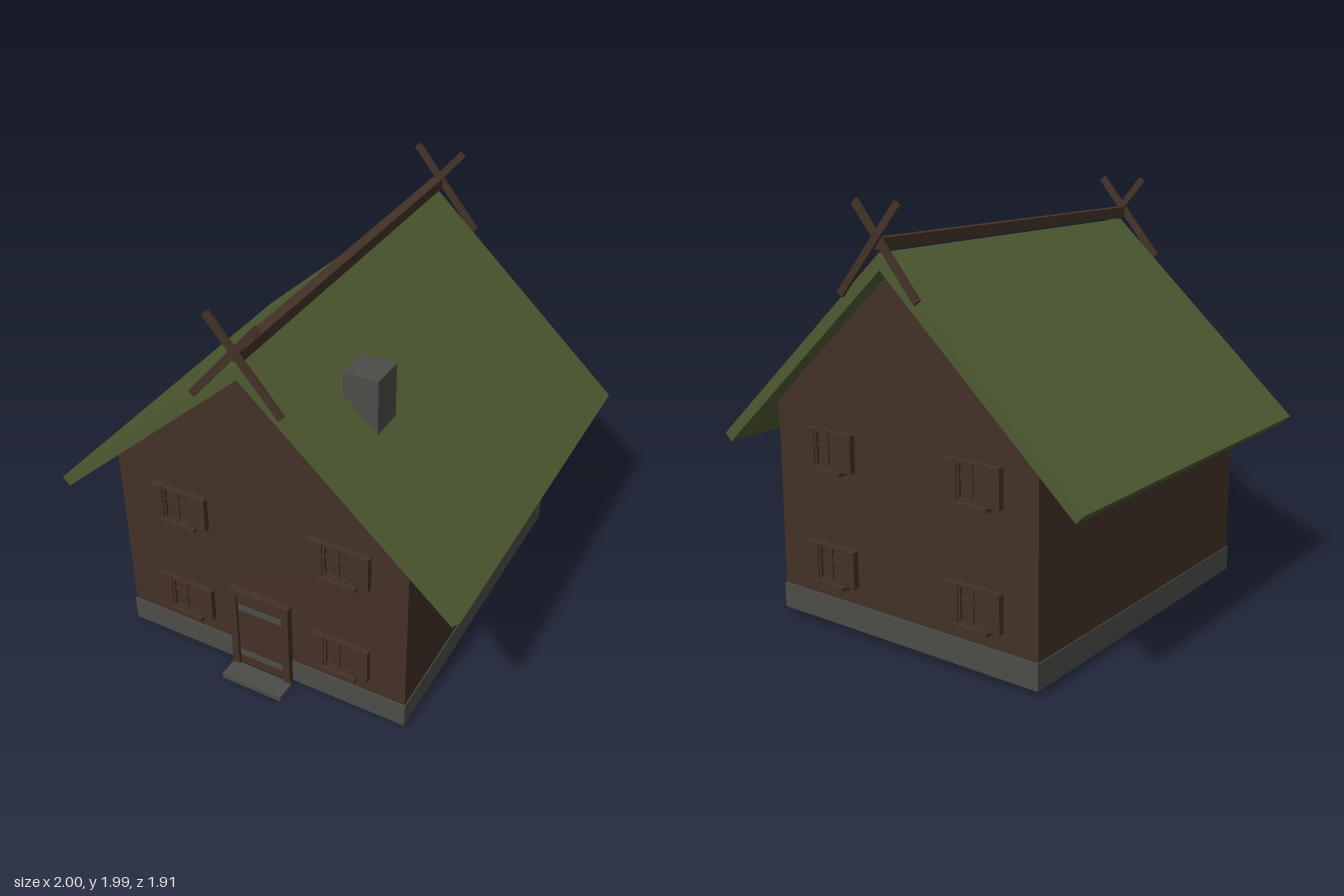
import * as THREE from 'three';

const mat = (name, color) => Object.assign(new THREE.MeshStandardMaterial({ color }), { name });

export function createModel() {
  const wood = mat('dark wood', 0x433127);
  const turf = mat('turf green', 0x4e5a31);
  const stone = mat('grey stone', 0x4b4c47);

  const house = new THREE.Group();
  house.name = 'house';

  // Box given by its min and max along each axis
  function box(parent, name, material, [x0, x1], [y0, y1], [z0, z1]) {
    const mesh = new THREE.Mesh(new THREE.BoxGeometry(x1 - x0, y1 - y0, z1 - z0), material);
    mesh.position.set((x0 + x1) / 2, (y0 + y1) / 2, (z0 + z1) / 2);
    mesh.name = name;
    parent.add(mesh);
    return mesh;
  }

  // Outline in x and y, extruded from z0 to z1
  function prism(parent, name, material, points, z0, z1) {
    const shape = new THREE.Shape(points.map(([x, y]) => new THREE.Vector2(x, y)));
    const geometry = new THREE.ExtrudeGeometry(shape, { depth: z1 - z0, bevelEnabled: false });
    geometry.translate(0, 0, z0);
    const mesh = new THREE.Mesh(geometry, material);
    mesh.name = name;
    parent.add(mesh);
    return mesh;
  }

  // Foundation, walls and roof
  box(house, 'foundation', stone, [-0.735, 0.735], [0.03, 0.152], [-0.84, 0.84]);
  prism(house, 'walls', wood,
    [[-0.73, 0.14], [0.73, 0.14], [0.73, 1.05], [0, 1.71], [-0.73, 1.05]], -0.832, 0.832);
  prism(house, 'roof', turf,
    [[0, 1.775], [-1, 0.862], [-0.965, 0.824], [0, 1.703], [0.965, 0.824], [1, 0.862]], -0.925, 0.925);
  box(house, 'ridgeBeam', wood, [-0.025, 0.025], [1.786, 1.836], [-0.925, 0.925]);
  box(house, 'chimney', stone, [0.28, 0.445], [1.34, 1.63], [0.41, 0.575]);

  // Window with shutters, facing +z from the wall plane at z = 0
  function makeWindow(x, y) {
    const win = new THREE.Group();
    win.name = 'window';
    for (const s of [-1, 1]) {
      const edges = [s * 0.075, s * 0.147].sort((a, b) => a - b);
      box(win, 'shutter', wood, edges, [-0.0875, 0.0875], [-0.01, 0.03]);
      box(win, 'frameSide', wood, [s * 0.068 - 0.006, s * 0.068 + 0.006], [-0.0875, 0.0875], [-0.01, 0.025]);
      box(win, 'frameRail', wood, [-0.074, 0.074], [s * 0.081 - 0.006, s * 0.081 + 0.006], [-0.01, 0.025]);
    }
    box(win, 'pane', wood, [-0.07, 0.07], [-0.085, 0.085], [-0.01, 0.012]);
    box(win, 'mullion', wood, [-0.005, 0.005], [-0.08, 0.08], [0, 0.02]);
    box(win, 'crossbar', wood, [-0.07, 0.07], [0.012, 0.022], [0, 0.02]);
    box(win, 'sill', wood, [-0.093, 0.093], [-0.106, -0.0875], [-0.01, 0.047]);
    win.position.set(x, y, 0.832);
    return win;
  }

  // Each end: gable boarding, four windows and crossed ridge boards
  for (const end of ['front', 'back']) {
    const side = new THREE.Group();
    side.name = end + 'End';
    prism(side, 'gable', wood, [[-0.66, 1.108], [0.66, 1.108], [0, 1.706]], 0.82, 0.84);
    for (const x of [-0.408, 0.408]) {
      for (const y of [0.323, 0.863]) side.add(makeWindow(x, y));
    }
    for (const s of [-1, 1]) {
      const z = s < 0 ? [0.922, 0.938] : [0.935, 0.952];
      const board = box(side, 'crossedBoard', wood, [-0.254, 0.254], [-0.017, 0.017], z);
      board.position.x = -s * 0.041;
      board.position.y = 1.784;
      board.rotation.z = s * Math.atan2(0.388, 0.327);
    }
    if (end === 'back') side.rotation.y = Math.PI;
    house.add(side);
  }

  // Front door with frame, iron straps and step
  const door = new THREE.Group();
  door.name = 'door';
  box(door, 'doorLeaf', wood, [-0.122, 0.122], [0.028, 0.465], [0.82, 0.852]);
  for (const s of [-1, 1]) {
    box(door, 'doorPost', wood, [s * 0.138 - 0.018, s * 0.138 + 0.018], [0.028, 0.462], [0.82, 0.868]);
  }
  box(door, 'lintel', wood, [-0.158, 0.158], [0.462, 0.494], [0.82, 0.87]);
  for (const y of [0.1, 0.388]) {
    box(door, 'strap', stone, [-0.115, 0.115], [y - 0.015, y + 0.015], [0.85, 0.858]);
  }
  box(door, 'step', stone, [-0.158, 0.158], [0, 0.026], [0.855, 0.96]);
  house.add(door);

  return house;
}
